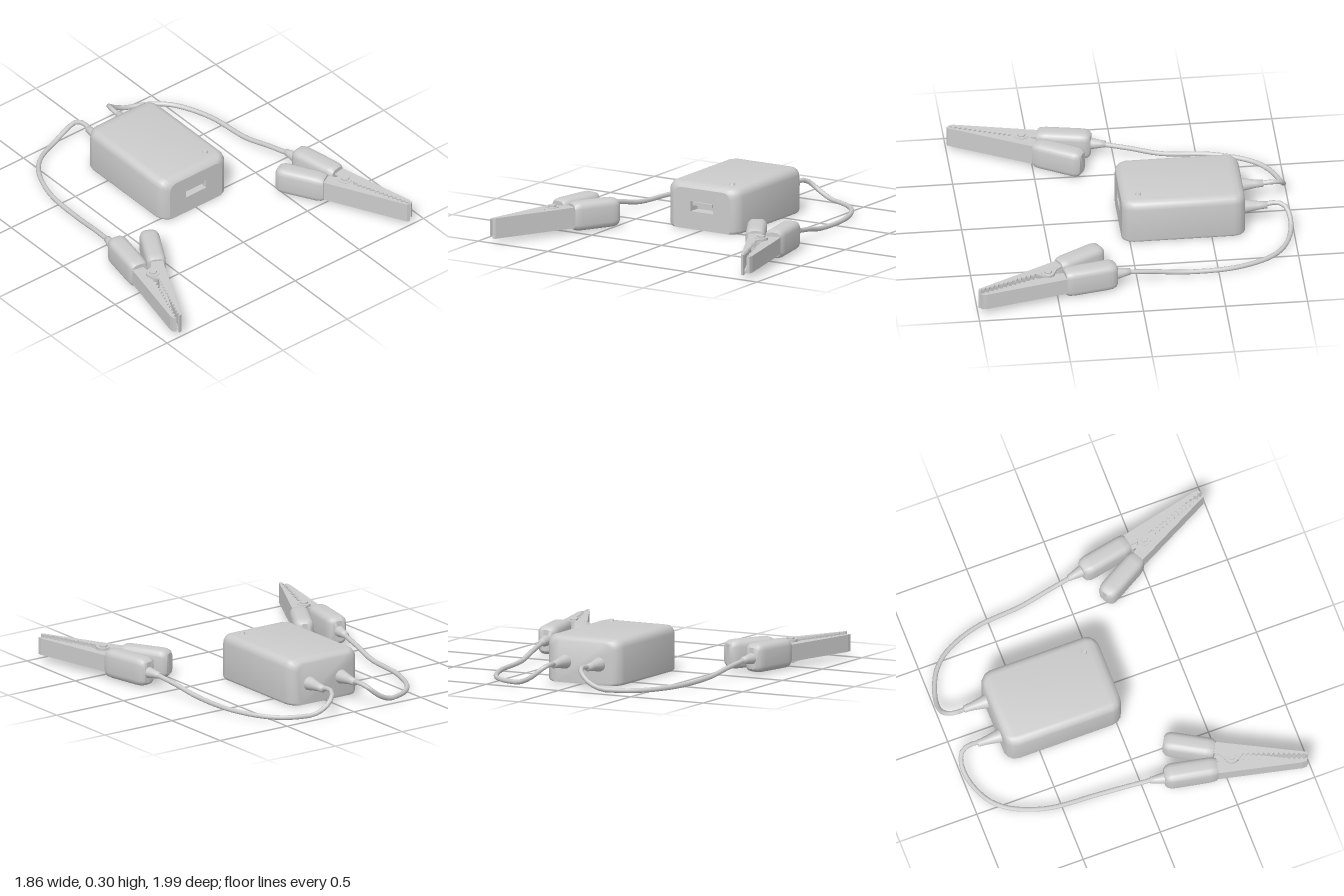
import * as THREE from 'three';
import { toCreasedNormals } from 'three/addons/utils/BufferGeometryUtils.js';

const material = new THREE.MeshStandardMaterial({ color: 0xcccccc, side: THREE.DoubleSide });

// Rounded rectangle in xy, counter-clockwise, with separate bottom and top corner radii
function roundedLoop(halfW, y0, y1, rBottom, rTop, steps = 4) {
  const corners = [
    [halfW, y0, rBottom, -1, 1, -Math.PI / 2], [halfW, y1, rTop, -1, -1, 0],
    [-halfW, y1, rTop, 1, -1, Math.PI / 2], [-halfW, y0, rBottom, 1, 1, Math.PI],
  ];
  const pts = [];
  for (const [x, y, r, sx, sy, start] of corners) {
    for (let i = 0; i <= steps; i++) {
      const a = start + (i / steps) * Math.PI / 2;
      pts.push(new THREE.Vector2(x + sx * r + r * Math.cos(a), y + sy * r + r * Math.sin(a)));
    }
  }
  return pts;
}

// Skin over cross-sections [{ z, loop }] ordered by rising z
function loft(sections, capFront = true) {
  const n = sections[0].loop.length;
  const pos = [], index = [];
  for (const { z, loop } of sections) for (const p of loop) pos.push(p.x, p.y, z);
  for (let i = 0; i < sections.length - 1; i++) {
    for (let j = 0; j < n; j++) {
      const a = i * n + j, b = i * n + (j + 1) % n;
      index.push(a, b, b + n, a, b + n, a + n);
    }
  }
  const last = (sections.length - 1) * n;
  for (let j = 1; j < n - 1; j++) {
    index.push(0, j + 1, j);
    if (capFront) index.push(last, last + j, last + j + 1);
  }
  const g = new THREE.BufferGeometry();
  g.setAttribute('position', new THREE.Float32BufferAttribute(pos, 3));
  g.setIndex(index);
  return toCreasedNormals(g, 0.7);
}

// Copy reflected in x, with the corner order restored
function mirrored(geometry) {
  const g = geometry.index ? geometry.toNonIndexed() : geometry.clone();
  for (const name of ['position', 'normal']) {
    const a = g.attributes[name];
    for (let i = 0; i < a.count; i += 3) {
      const v = [0, 1, 2].map(k => [-a.getX(i + k), a.getY(i + k), a.getZ(i + k)]);
      v.reverse().forEach((p, k) => a.setXYZ(i + k, ...p));
    }
  }
  return g;
}

// Flat plate from [x, z] points, standing from y0 to y1
function plate(points, y0, y1) {
  const shape = new THREE.Shape(points.map(([x, z]) => new THREE.Vector2(x, -z)));
  const g = new THREE.ExtrudeGeometry(shape, { depth: y1 - y0, bevelEnabled: false });
  return g.rotateX(-Math.PI / 2).translate(0, y0, 0);
}

// Saw-tooth edge along the jaw's closing line; side picks which jaw it belongs to
function toothEdge(side) {
  const pts = [], teeth = 12;
  for (let i = 0; i <= teeth * 2; i++) {
    const t = i / (teeth * 2);
    const offset = side * (i % 2 ? 0.004 : 0.02);
    pts.push([0.772 + 0.128 * t + offset, 0.625 + 0.345 * t - offset * 0.37]);
  }
  return pts;
}

// Soft insulating boot running between two [x, z] points
function boot(from, to, width) {
  const dx = to[0] - from[0], dz = to[1] - from[1], length = Math.hypot(dx, dz);
  const profile = [[0, 0.62, 0.74], [0.04, 0.84, 0.9], [0.11, 0.98, 0.98], [0.2, 1, 1],
    [0.85, 0.98, 1], [0.95, 0.92, 0.96], [1, 0.78, 0.86]];
  const g = loft(profile.map(([t, w, h]) => ({
    z: t * length,
    loop: roundedLoop(width / 2 * w, -0.088 * h, 0.088 * h, 0.04 * w, 0.04 * w),
  })));
  return g.rotateY(Math.atan2(dx, dz)).translate(from[0], 0.097, from[1]);
}

// Flared cable sleeve pointing towards -z
function sleeve(profile) {
  return new THREE.LatheGeometry(profile.map(([r, y]) => new THREE.Vector2(r, y)), 14)
    .rotateX(-Math.PI / 2);
}

export function createModel() {
  const model = new THREE.Group();
  model.name = 'powerPackWithClips';
  const add = (name, geometry, parent = model) => {
    const mesh = new THREE.Mesh(geometry, material);
    mesh.name = name;
    parent.add(mesh);
    return mesh;
  };

  // Case: rounded shell with a flat base and softened ends
  const ends = [[0, 0.055, 0.03], [0.01, 0.032, 0.015], [0.035, 0.01, 0.004], [0.07, 0, 0]];
  const section = (z, inset, drop) =>
    ({ z, loop: roundedLoop(0.257 - inset, 0.004, 0.288 - drop, 0.02, 0.05) });
  add('caseShell', loft([
    ...ends.map(([d, i, t]) => section(-0.705 + d, i, t)),
    ...ends.map(([d, i, t]) => section(0.045 - d, i, t)).reverse(),
  ], false));

  // Case front with the port opening
  const face = new THREE.Shape(section(0, 0.055, 0.03).loop);
  const rect = [[-0.08, 0.115], [-0.08, 0.178], [0.08, 0.178], [0.08, 0.115]];
  face.holes.push(new THREE.Path(rect.map(([x, y]) => new THREE.Vector2(x, y))));
  add('caseFront', new THREE.ShapeGeometry(face).translate(0, 0, 0.045));
  const port = new THREE.Group();
  port.name = 'port';
  model.add(port);
  for (const y of [0.114, 0.179]) add('portWall', new THREE.BoxGeometry(0.164, 0.002, 0.08).translate(0, y, 0.004), port);
  for (const x of [-0.081, 0.081]) add('portSide', new THREE.BoxGeometry(0.002, 0.063, 0.08).translate(x, 0.1465, 0.004), port);
  add('portBack', new THREE.BoxGeometry(0.16, 0.063, 0.004).translate(0, 0.1465, -0.035), port);
  add('portTongue', new THREE.BoxGeometry(0.14, 0.02, 0.07).translate(0, 0.162, 0.002), port);

  // Status button on the top
  add('button', new THREE.CylinderGeometry(0.014, 0.02, 0.016, 12).translate(0.153, 0.292, -0.058));

  // Cable, from the back of the case round to the clip
  const cablePath = new THREE.CatmullRomCurve3([
    [0.115, 0.135, -0.84], [0.112, 0.142, -0.905], [0.132, 0.125, -0.958], [0.195, 0.07, -0.984],
    [0.28, 0.032, -0.975], [0.36, 0.026, -0.95], [0.45, 0.024, -0.902], [0.535, 0.024, -0.81],
    [0.622, 0.026, -0.59], [0.65, 0.036, -0.28], [0.675, 0.07, -0.1], [0.698, 0.095, 0.06],
  ].map(p => new THREE.Vector3(...p)));

  // Jaws: a channel each, made of an outer wall and two toothed cheeks
  const outerCheek = [[0.785, 0.4], [0.809, 0.4], [0.932, 0.945], [0.932, 0.975], [0.915, 0.985],
    ...toothEdge(1).reverse(), [0.785, 0.59], [0.79, 0.56], [0.78, 0.53], [0.75, 0.51], [0.745, 0.43]];
  const innerCheek = [[0.61, 0.45], [0.625, 0.495], [0.88, 0.99], [0.898, 0.995],
    ...toothEdge(-1).reverse(), [0.78, 0.59], [0.79, 0.56], [0.78, 0.53], [0.75, 0.512], [0.72, 0.5], [0.67, 0.44]];
  const outerWall = [[0.809, 0.4], [0.932, 0.945], [0.932, 0.975], [0.915, 0.985], [0.912, 0.97], [0.921, 0.945], [0.799, 0.4]];
  const innerWall = [[0.615, 0.475], [0.88, 0.99], [0.898, 0.995], [0.897, 0.98], [0.888, 0.978], [0.628, 0.475]];

  const parts = [
    ['cable', new THREE.TubeGeometry(cablePath, 36, 0.015, 8)],
    ['caseCableSleeve', sleeve([[0.046, -0.01], [0.043, 0.01], [0.034, 0.055], [0.026, 0.1], [0.022, 0.15], [0, 0.15]])
      .translate(0.118, 0.132, -0.7)],
    ['clipCableSleeve', sleeve([[0.037, -0.02], [0.032, 0.03], [0.025, 0.065], [0.02, 0.1], [0, 0.1]])
      .rotateY(0.18).translate(0.715, 0.097, 0.145)],
    ['outerHandle', boot([0.709, 0.135], [0.771, 0.455], 0.125)],
    ['innerHandle', boot([0.504, 0.208], [0.658, 0.48], 0.122)],
    ['outerJawWall', plate(outerWall, 0.045, 0.145)],
    ['outerJawTop', plate(outerCheek, 0.137, 0.147)],
    ['outerJawBottom', plate(outerCheek, 0.043, 0.053)],
    ['innerJawWall', plate(innerWall, 0.032, 0.158)],
    ['innerJawTop', plate(innerCheek, 0.149, 0.159)],
    ['innerJawBottom', plate(innerCheek, 0.031, 0.041)],
    ['pivotWasher', new THREE.CylinderGeometry(0.042, 0.042, 0.136, 16).translate(0.75, 0.095, 0.555)],
    ['pivotBolt', toCreasedNormals(new THREE.CylinderGeometry(0.025, 0.025, 0.154, 6), 0.5).translate(0.75, 0.095, 0.555)],
  ];
  for (const side of ['left', 'right']) {
    const group = new THREE.Group();
    group.name = side + 'Lead';
    for (const [name, g] of parts) add(name, side === 'left' ? g : mirrored(g), group);
    model.add(group);
  }
  return model;
}
